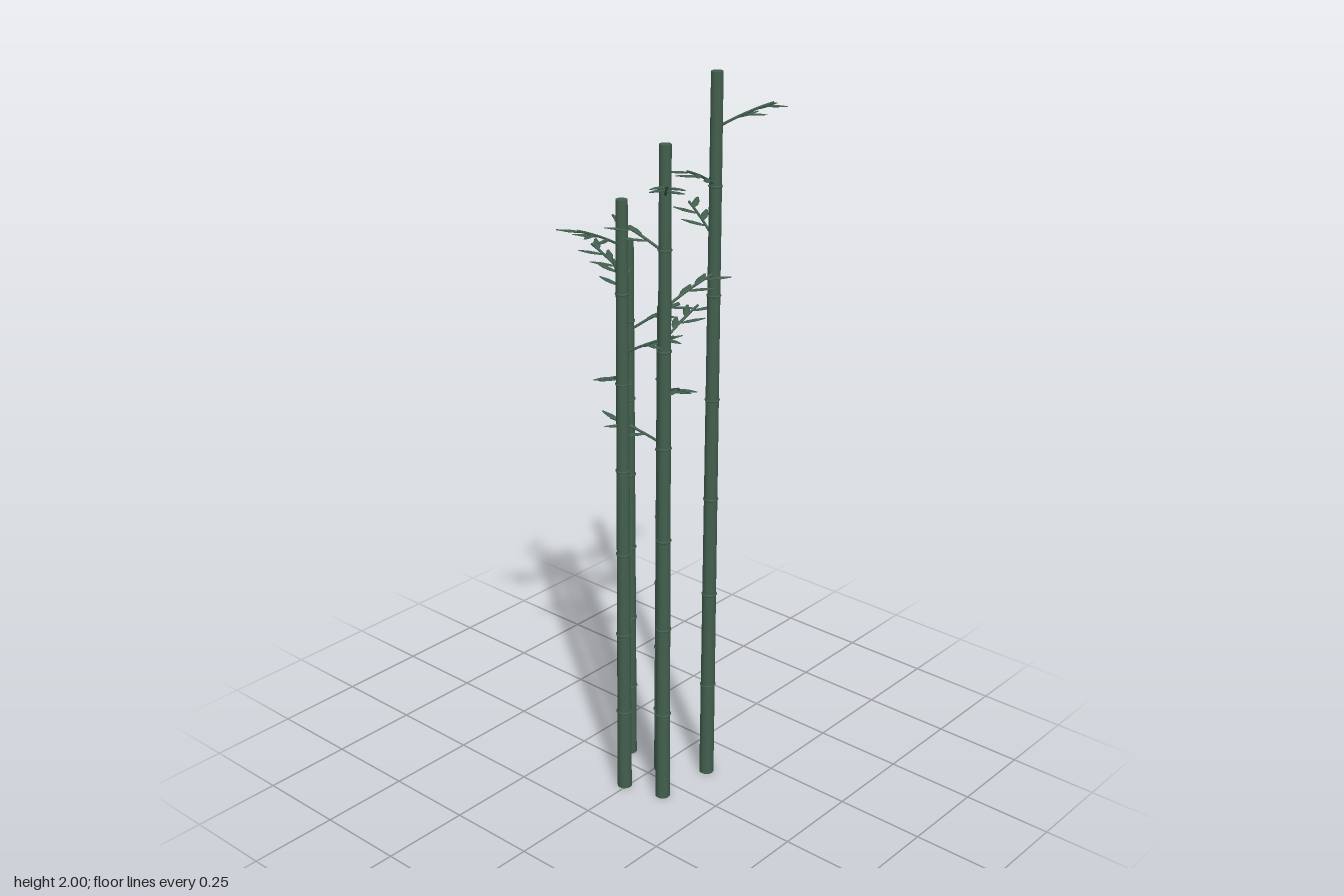
import * as THREE from 'three';

const green = new THREE.MeshStandardMaterial({ color: 0x43604f });
green.name = 'bamboo green';

// x, z, height, compass angle of the top branch in degrees
const STALKS = [
  [0.12, 0.117, 2.0, 52],
  [-0.055, 0.103, 1.85, 137],
  [-0.088, -0.01, 1.7, 189],
  [0.053, -0.117, 1.545, -85],
  [0.042, 0.013, 1.395, 0],
];
const SEGMENTS = 7;
const BOTTOM_R = 0.0205;
const TOP_R = 0.0155;

// Flat blade with blunt ends, lying along +x from the origin
function makeLeafGeometry() {
  const profile = [[0, 0], [0.003, 0], [0.0085, 0.022], [0.0092, 0.042], [0.003, 0.071], [0, 0.071]];
  const geo = new THREE.LatheGeometry(profile.map(([r, l]) => new THREE.Vector2(r, l)), 8);
  geo.rotateZ(-Math.PI / 2);
  geo.scale(1, 0.25, 1);
  return geo;
}

const stemCurve = new THREE.QuadraticBezierCurve3(
  new THREE.Vector3(0, 0, 0),
  new THREE.Vector3(0.07, 0.042, 0),
  new THREE.Vector3(0.14, 0.065, 0),
);

function add(parent, geo, name) {
  const mesh = new THREE.Mesh(geo, green);
  mesh.name = name;
  parent.add(mesh);
  return mesh;
}

// Twig rising outward along +x, with leaves alternating on both sides
function makeBranch(stemGeo, leafGeo) {
  const branch = new THREE.Group();
  branch.name = 'branch';
  add(branch, stemGeo, 'twig');
  [0.045, 0.065, 0.09, 0.114].forEach((d, i) => {
    const side = i % 2 ? 1 : -1;
    const leaf = add(branch, leafGeo, 'leaf');
    leaf.position.copy(stemCurve.getPoint(d / 0.14));
    leaf.rotation.set(0, -side * 0.63, 0.12);
  });
  return branch;
}

export function createModel() {
  const model = new THREE.Group();
  model.name = 'bambooClump';
  const stemGeo = new THREE.TubeGeometry(stemCurve, 6, 0.0035, 6);
  const leafGeo = makeLeafGeometry();

  for (const [x, z, height, angle] of STALKS) {
    const stalk = new THREE.Group();
    stalk.name = 'stalk';
    stalk.position.set(x, 0, z);
    model.add(stalk);

    // Tapered cane
    const cane = add(stalk, new THREE.CylinderGeometry(TOP_R, BOTTOM_R, height, 12), 'cane');
    cane.position.y = height / 2;

    // Raised rings at the joints
    for (let i = 1; i < SEGMENTS; i++) {
      const t = i / SEGMENTS;
      const r = THREE.MathUtils.lerp(BOTTOM_R, TOP_R, t);
      const ring = add(stalk, new THREE.TorusGeometry(r, 0.0028, 6, 12), 'jointRing');
      ring.rotation.x = Math.PI / 2;
      ring.position.y = height * t;
    }

    // Three branches spiralling down from near the top
    for (let i = 0; i < 3; i++) {
      const branch = makeBranch(stemGeo, leafGeo);
      branch.position.y = height * 0.93 - i * 0.143;
      branch.rotation.y = -THREE.MathUtils.degToRad(angle + i * 120);
      stalk.add(branch);
    }
  }
  return model;
}
